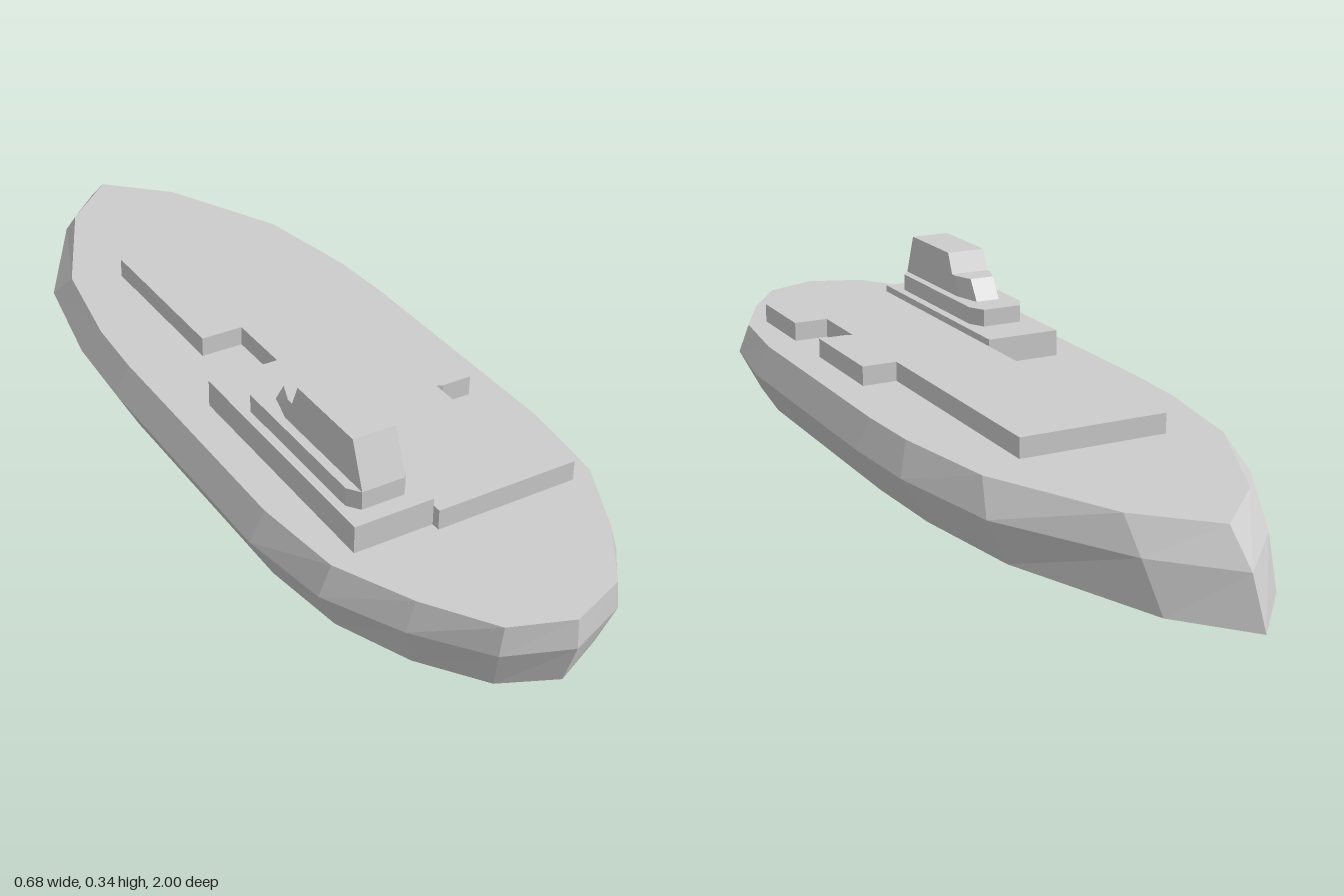
import * as THREE from 'three';

const material = new THREE.MeshStandardMaterial({ color: 0xcccccc, flatShading: true, side: THREE.DoubleSide });

// Flat-sided solid through matching outlines of [x, z] points, stacked from bottom to top
function loft(name, levels) {
  const flat = levels[0].outline.map(([x, z]) => new THREE.Vector2(x, -z));
  const reversed = THREE.ShapeUtils.isClockWise(flat);
  const rings = levels.map(({ y, outline }) => {
    const ring = outline.map(([x, z]) => [x, y, z]);
    return reversed ? ring.reverse() : ring;
  });
  const pos = [];
  const tri = (a, b, c) => pos.push(...a, ...b, ...c);
  const n = flat.length;
  for (let k = 0; k < rings.length - 1; k++) {
    const lo = rings[k], hi = rings[k + 1];
    for (let i = 0; i < n; i++) {
      const j = (i + 1) % n;
      tri(lo[i], lo[j], hi[j]);
      tri(lo[i], hi[j], hi[i]);
    }
  }
  const cap = (ring, up) => {
    const contour = ring.map(([x, , z]) => new THREE.Vector2(x, -z));
    for (const [a, b, c] of THREE.ShapeUtils.triangulateShape(contour, [])) {
      if (up) tri(ring[a], ring[b], ring[c]);
      else tri(ring[a], ring[c], ring[b]);
    }
  };
  cap(rings[0], false);
  cap(rings[rings.length - 1], true);
  const geometry = new THREE.BufferGeometry();
  geometry.setAttribute('position', new THREE.Float32BufferAttribute(pos, 3));
  geometry.computeVertexNormals();
  const mesh = new THREE.Mesh(geometry, material);
  mesh.name = name;
  return mesh;
}

const slab = (name, y0, y1, outline) => loft(name, [{ y: y0, outline }, { y: y1, outline }]);

// Mirror a half outline whose first and last points lie on the centre line
const mirrored = (half, cx = 0) => [
  ...half.map(([x, z]) => [cx + x, z]),
  ...half.filter(([x]) => x > 0).reverse().map(([x, z]) => [cx - x, z]),
];

export function createModel() {
  const group = new THREE.Group();
  group.name = 'ship';

  // Hull: bottom, widest line and deck edge
  const bottom = [[0, -1], [0.115, -0.87], [0.24, -0.55], [0.28, -0.3], [0.29, -0.1],
    [0.29, 0.47], [0.265, 0.65], [0.2, 0.8], [0.11, 0.92], [0, 0.97]];
  const waist = [[0, -0.955], [0.13, -0.82], [0.282, -0.55], [0.33, -0.29], [0.34, -0.1],
    [0.34, 0.47], [0.31, 0.665], [0.23, 0.82], [0.128, 0.95], [0, 1]];
  const deck = [[0, -0.885], [0.13, -0.76], [0.26, -0.49], [0.3, -0.25], [0.308, -0.1],
    [0.308, 0.47], [0.285, 0.665], [0.21, 0.82], [0.12, 0.95], [0, 0.995]];
  group.add(loft('hull', [
    { y: 0, outline: mirrored(bottom) },
    { y: 0.092, outline: mirrored(waist) },
    { y: 0.153, outline: mirrored(deck) },
  ]));

  // Raised deck plate with its side notches
  group.add(slab('raisedDeck', 0.153, 0.195, [
    [-0.158, -0.445], [0.16, -0.445], [0.16, 0.1], [0.237, 0.1], [0.237, 0.34], [0.172, 0.34],
    [0.16, 0.335], [0.16, 0.485], [0.237, 0.485], [0.237, 0.675], [-0.066, 0.675],
    [-0.066, -0.055], [-0.158, -0.055]]));

  // Stepped island on the ship's right side
  const cx = -0.15;
  group.add(slab('islandBase', 0.153, 0.21,
    [[-0.233, 0.115], [-0.066, 0.115], [-0.066, 0.657], [-0.233, 0.657]]));
  group.add(slab('islandPlatform', 0.21, 0.248, mirrored(
    [[0.045, 0.215], [0.064, 0.25], [0.064, 0.595], [0.045, 0.62]], cx)));

  // Bridge tower with sloped ends
  const rect = (front, back) => mirrored([[0.045, front], [0.045, back]], cx);
  group.add(loft('bridgeTower', [
    { y: 0.248, outline: rect(0.355, 0.62) },
    { y: 0.34, outline: rect(0.395, 0.585) },
  ]));

  // Low tapered step in front of the tower
  group.add(loft('bridgeStep', [
    { y: 0.248, outline: mirrored([[0.028, 0.285], [0.045, 0.35], [0.045, 0.42]], cx) },
    { y: 0.294, outline: mirrored([[0.028, 0.315], [0.045, 0.36], [0.045, 0.42]], cx) },
  ]));

  return group;
}
